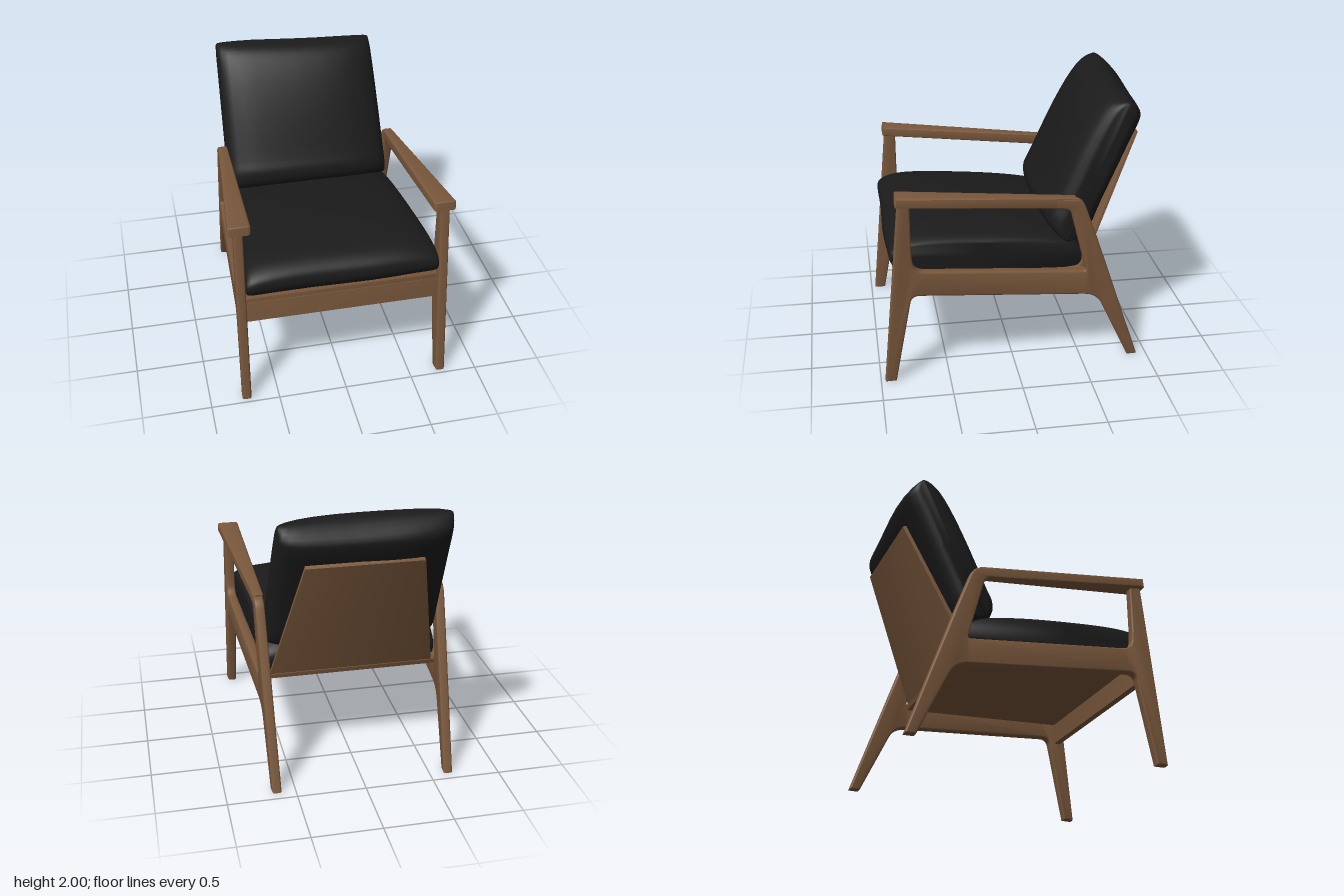
import * as THREE from 'three';
import { toCreasedNormals } from 'three/addons/utils/BufferGeometryUtils.js';

const wood = new THREE.MeshStandardMaterial({ color: 0x7a583c });
wood.name = 'walnut wood';
const fabric = new THREE.MeshStandardMaterial({ color: 0x1b1b1b });
fabric.name = 'black fabric';

// Trace a closed side outline of [z, y, cornerRadius]; shape x runs along -z
function outline(path, pts) {
  const v = pts.map(([z, y]) => new THREE.Vector2(-z, y));
  v.forEach((p, i) => {
    const r = pts[i][2] || 0;
    const toward = q => q.clone().sub(p).setLength(r).add(p);
    const a = toward(v[(i + v.length - 1) % v.length]);
    const b = toward(v[(i + 1) % v.length]);
    if (i === 0) path.moveTo(a.x, a.y); else path.lineTo(a.x, a.y);
    if (r) path.quadraticCurveTo(p.x, p.y, b.x, b.y);
  });
  path.closePath();
  return path;
}

// Side outline extruded across x; centre and width may vary with z and y
function plank(name, pts, hole, bevel, centre, width) {
  const shape = outline(new THREE.Shape(), pts);
  if (hole) shape.holes.push(outline(new THREE.Path(), hole));
  const cut = bevel / width(0, 1);
  const geo = new THREE.ExtrudeGeometry(shape, {
    depth: 1 - 2 * cut, bevelEnabled: true, bevelThickness: cut,
    bevelSize: bevel, bevelOffset: -bevel, bevelSegments: 3, curveSegments: 8,
  });
  geo.translate(0, 0, cut - 0.5).rotateY(Math.PI / 2);
  const p = geo.attributes.position;
  for (let i = 0; i < p.count; i++) {
    const y = p.getY(i), z = p.getZ(i);
    p.setX(i, centre(z, y) + p.getX(i) * width(z, y));
  }
  const mesh = new THREE.Mesh(toCreasedNormals(geo, 0.6), wood);
  mesh.name = name;
  return mesh;
}

// Cushion lofted across x from a side profile; pinch thins it towards both ends.
// along: unit direction [z, y] of the cushion's length
function cushion(name, pts, along, pinch, halfWidth, bend) {
  const N = 64;
  const curve = new THREE.CatmullRomCurve3(
    pts.map(([z, y]) => new THREE.Vector3(0, y, z)), true, 'centripetal');
  const ring = Array.from({ length: N }, (_, j) => curve.getPoint(j / N));
  const c = ring.reduce((s, p) => s.add(p), new THREE.Vector3()).divideScalar(N);
  // [x fraction, length scale, thickness scale]
  const end = [[1, 0, 0.4], [1, 0.965, 0.4], [0.985, 0.98, 0.52], [0.95, 0.985, 0.65],
    [0.88, 0.99, 0.77], [0.75, 0.995, 0.88], [0.55, 1, 0.95], [0.3, 1, 0.99]];
  const slices = [...end.map(([x, l, t]) => [-x, l, t]), [0, 1, 1], ...end.slice().reverse()];
  const pos = [], index = [];
  slices.forEach(([t, sl, thin], i) => ring.forEach((p, j) => {
    const dz = p.z - c.z, dy = p.y - c.y;
    const l = (dz * along[0] + dy * along[1]) * sl;
    const h = (dy * along[0] - dz * along[1]) * (1 - pinch * (1 - thin));
    const z = c.z + l * along[0] - h * along[1];
    const y = c.y + l * along[1] + h * along[0];
    const v = new THREE.Vector3(t * halfWidth(z, y), y, z);
    bend(v);
    pos.push(v.x, v.y, v.z);
    if (i === slices.length - 1) return;
    const a = i * N + j, b = i * N + (j + 1) % N;
    index.push(a, b, a + N, b, b + N, a + N);
  }));
  const geo = new THREE.BufferGeometry();
  geo.setAttribute('position', new THREE.Float32BufferAttribute(pos, 3));
  geo.setIndex(index);
  const mesh = new THREE.Mesh(toCreasedNormals(geo, 0.8), fabric);
  mesh.name = name;
  return mesh;
}

export function createModel() {
  const chair = new THREE.Group();
  chair.name = 'armchair';
  const frameX = z => 0.735 - 0.0532 * (0.95 - z); // side frames close in to the back
  const zero = () => 0;

  // Side frames: legs, lower rail and arm support in one piece, plus a wide arm
  for (const [side, label] of [[1, 'left'], [-1, 'right']]) {
    chair.add(plank(label + 'SideFrame',
      [[0.968, 0], [0.83, 1.425], [-0.475, 1.311, 0.07], [-0.6, 0.965], [-0.93, 0],
        [-0.855, 0], [-0.6, 0.545, 0.1], [0.757, 0.68, 0.06], [0.888, 0]],
      [[0.75, 1.36], [0.75, 1.02], [0.74, 0.866, 0.08], [-0.515, 0.742, 0.03],
        [-0.385, 1.243, 0.05]],
      0.012, z => side * frameX(z), () => 0.067));
    chair.add(plank(label + 'Armrest',
      [[0.852, 1.375], [0.847, 1.446, 0.01], [-0.425, 1.322], [-0.39, 1.244]], null,
      0.014, z => side * (0.656 + 0.0512 * (z + 0.42)), z => 0.07 + 0.071 * (z + 0.42)));
  }

  // Front rail, seat board and tapering back board
  const inner = z => 2 * frameX(z) - 0.06;
  chair.add(plank('frontRail',
    [[0.86, 0.636], [0.85, 0.79], [0.80, 0.79], [0.81, 0.636]], null, 0.005, zero, inner));
  chair.add(plank('seatBoard',
    [[0.86, 0.803], [0.86, 0.84], [-0.515, 0.735], [-0.505, 0.70]], null, 0.004, zero, inner));
  chair.add(plank('backBoard',
    [[-0.503, 0.725], [-0.925, 1.69], [-0.9, 1.705], [-0.474, 0.73]], null, 0.004, zero,
    (z, y) => 1.22 - 0.4 * (y - 0.705)));

  // Seat cushion, its ends sagging onto the board
  chair.add(cushion('seatCushion',
    [[-0.46, 0.745], [-0.5, 0.79], [-0.5, 0.9], [-0.42, 0.98], [-0.2, 1.04], [0.24, 1.092],
      [0.7, 1.108], [0.84, 1.075], [0.905, 1.02], [0.912, 0.94], [0.86, 0.865], [0.74, 0.835],
      [0.2, 0.79]],
    [0.995, 0.098], 0.55, z => 0.695 - 0.05 * (0.92 - z),
    v => {
      v.z += 0.006 * Math.sin(v.x * 7) * Math.max(v.z, 0);
      v.y -= 0.035 * (Math.abs(v.x) / 0.69) ** 6;
    }));

  // Back cushion, slumping slightly to one side
  chair.add(cushion('backCushion',
    [[-0.44, 0.93], [-0.57, 0.97], [-0.685, 1.22], [-0.806, 1.49], [-0.895, 1.69], [-0.95, 1.81],
      [-0.96, 1.88], [-0.85, 1.995], [-0.76, 2.01], [-0.67, 1.985], [-0.575, 1.885],
      [-0.44, 1.65], [-0.265, 1.25], [-0.225, 1.16], [-0.235, 1.07], [-0.31, 0.985]],
    [-0.4, 0.9165], 1.1, (z, y) => 0.625 - 0.03 * (y - 1),
    v => {
      const up = Math.max(v.y - 1, 0);
      v.y -= up * (0.018 + 0.03 * v.x);
      v.z += up * 0.02 * Math.sin(v.x * 4 + 0.5);
      v.x -= 0.02 * up;
    }));

  return chair;
}
